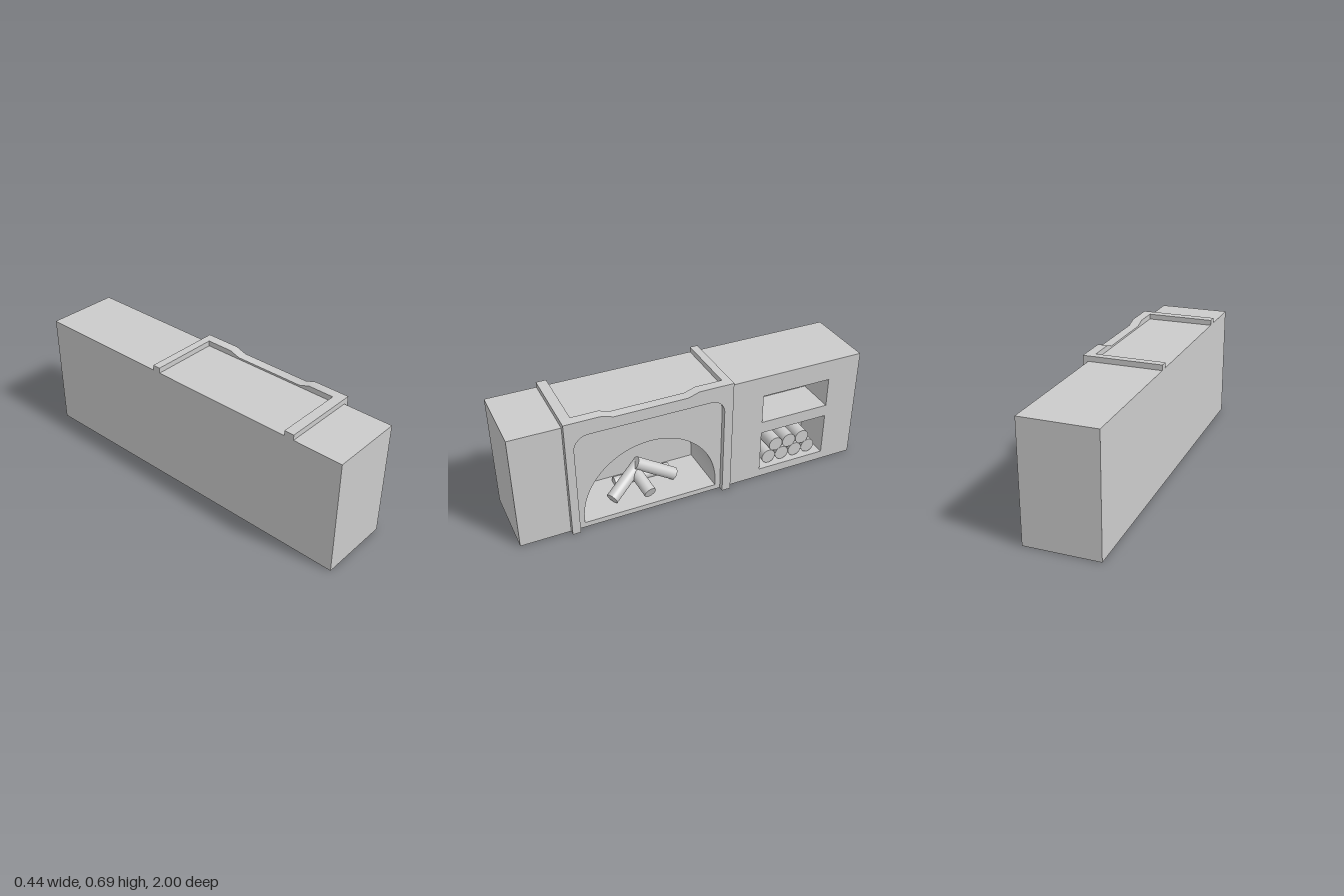
import * as THREE from 'three';
import { toCreasedNormals } from 'three/addons/utils/BufferGeometryUtils.js';

const BACK = -0.22, FRONT = 0.19, HEIGHT = 0.66;
const material = new THREE.MeshStandardMaterial({ color: 0xcccccc });
const liningMaterial = new THREE.MeshStandardMaterial({ color: 0xcccccc, side: THREE.DoubleSide });

// Outlines are drawn in (-z, y); this turns their depth axis onto +x.
const faceX = (geometry, x) => geometry.rotateY(Math.PI / 2).translate(x, 0, 0);

function rectangle(z0, z1, y0, y1) {
  return new THREE.Shape([[-z0, y0], [-z1, y0], [-z1, y1], [-z0, y1]].map(p => new THREE.Vector2(...p)));
}

function archShape() {
  const c = -0.2625, r = 0.382, base = 0.03, spring = 0.063;
  const s = new THREE.Shape();
  s.moveTo(c - r, base);
  s.lineTo(c + r, base);
  s.lineTo(c + r, spring);
  s.absarc(c, spring, r, 0, Math.PI, false);
  s.lineTo(c - r, base);
  return s;
}

// Recess lining: side walls and back wall, with the front cap left open.
function recessGeometry(shape, depth) {
  const g = new THREE.ExtrudeGeometry(shape, { depth, bevelEnabled: false, curveSegments: 40 });
  const p = g.attributes.position, kept = [];
  for (let i = 0; i < p.count; i += 3) {
    if ([0, 1, 2].every(k => p.getZ(i + k) > depth - 1e-5)) continue;
    // Reverse the corners so the walls face into the recess.
    for (const k of [0, 2, 1]) kept.push(p.getX(i + k), p.getY(i + k), p.getZ(i + k));
  }
  const out = new THREE.BufferGeometry();
  out.setAttribute('position', new THREE.Float32BufferAttribute(kept, 3));
  return faceX(toCreasedNormals(out, 0.5), FRONT - depth);
}

// Frame outline: dipped mantel on top and a round-cornered opening to the ground.
function frameShape() {
  const s = new THREE.Shape(), r = 0.08, top = 0.605;
  s.moveTo(-0.725, 0);
  s.lineTo(-0.68, 0);
  s.lineTo(-0.68, top - r);
  s.absarc(-0.68 + r, top - r, r, Math.PI, Math.PI / 2, true);
  s.lineTo(0.15 - r, top);
  s.absarc(0.15 - r, top - r, r, Math.PI / 2, 0, true);
  s.lineTo(0.15, 0);
  s.lineTo(0.2, 0);
  s.lineTo(0.2, 0.69);
  s.lineTo(0, 0.69);
  s.lineTo(-0.06, 0.67);
  s.lineTo(-0.465, 0.67);
  s.lineTo(-0.525, 0.69);
  s.lineTo(-0.725, 0.69);
  s.closePath();
  return s;
}

export function createModel() {
  const model = new THREE.Group();
  const add = (name, geometry, mat = material) => {
    const mesh = new THREE.Mesh(geometry, mat);
    mesh.name = name;
    model.add(mesh);
    return mesh;
  };
  const log = (name, from, to, radius) => {
    const a = new THREE.Vector3(...from), b = new THREE.Vector3(...to);
    const mesh = add(name, new THREE.CylinderGeometry(radius, radius, a.distanceTo(b), 24));
    mesh.position.copy(a).lerp(b, 0.5);
    mesh.quaternion.setFromUnitVectors(new THREE.Vector3(0, 1, 0), b.sub(a).normalize());
  };

  // Wall block without its front face
  const block = new THREE.BoxGeometry(FRONT - BACK, HEIGHT, 2).translate((FRONT + BACK) / 2, HEIGHT / 2, 0);
  block.setIndex(Array.from(block.index.array).slice(6));
  block.clearGroups();
  add('wallBlock', block);

  // Front face pierced by the hearth and two niches
  const recesses = [
    ['hearthRecess', archShape(), 0.31],
    ['upperNiche', rectangle(-0.4, -0.81, 0.37, 0.54), 0.225],
    ['lowerNiche', rectangle(-0.4, -0.81, 0.05, 0.3), 0.225],
  ];
  const front = rectangle(1, -1, 0, HEIGHT);
  front.holes = recesses.map(r => r[1]);
  add('wallFront', faceX(new THREE.ShapeGeometry(front, 40), FRONT));
  for (const [name, shape, depth] of recesses) add(name, recessGeometry(shape, depth), liningMaterial);

  // Fireplace surround and its rails along the top of the wall
  add('surround', faceX(toCreasedNormals(
    new THREE.ExtrudeGeometry(frameShape(), { depth: 0.055, bevelEnabled: false, curveSegments: 12 }), 0.5), 0.165));
  for (const z of [0.6975, -0.1775]) {
    const rail = new THREE.BoxGeometry(0.385, 0.03, z > 0 ? 0.055 : 0.045);
    add('topRail', rail).position.set(-0.0275, 0.675, z);
  }

  // Stacked firewood in the lower niche
  [[4, 0.097], [3, 0.17]].forEach(([count, y]) => {
    for (let i = 0; i < count; i++) {
      const z = -0.6025 + (i - (count - 1) / 2) * 0.0855;
      log('storedLog', [-0.034, y, z], [0.16, y, z], 0.042);
    }
  });

  // Logs piled in the hearth
  log('leaningLog', [0.11, 0.068, 0.46], [0, 0.17, 0.26], 0.035);
  log('leaningLog', [0.04, 0.065, 0.065], [0.02, 0.195, 0.285], 0.036);
  log('leaningLog', [0.17, 0.087, 0.262], [0.02, 0.14, 0.29], 0.035);
  log('flatLog', [-0.05, 0.045, 0.39], [-0.05, 0.045, 0.06], 0.03);
  return model;
}
